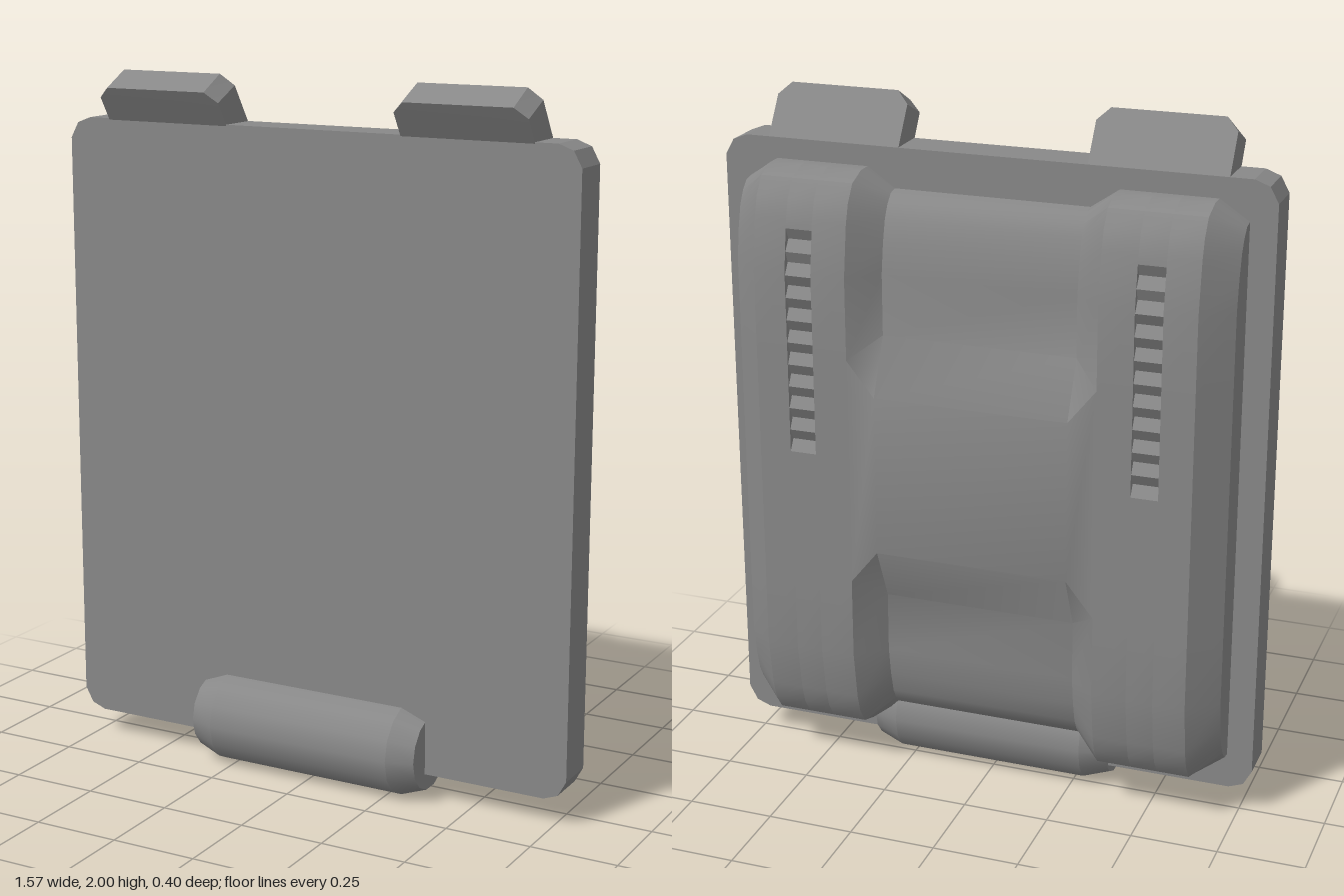
import * as THREE from 'three';
import { toCreasedNormals } from 'three/addons/utils/BufferGeometryUtils.js';

const grey = new THREE.MeshStandardMaterial({ color: 0x888888 });
grey.name = 'grey';

function add(parent, name, geometry) {
  const mesh = new THREE.Mesh(geometry, grey);
  mesh.name = name;
  parent.add(mesh);
  return mesh;
}

// Skins a surface over rows of [x, y, z] points, skipping empty triangles
function loft(rows) {
  const pos = [];
  const tri = (...pts) => {
    const [a, b, c] = pts.map((p) => new THREE.Vector3(...p));
    if (b.clone().sub(a).cross(c.clone().sub(a)).length() > 1e-7) pos.push(...pts.flat());
  };
  for (let r = 0; r < rows.length - 1; r++) {
    const a = rows[r], b = rows[r + 1];
    for (let i = 0; i < a.length - 1; i++) {
      tri(a[i], b[i], b[i + 1]);
      tri(a[i], b[i + 1], a[i + 1]);
    }
  }
  const g = new THREE.BufferGeometry();
  g.setAttribute('position', new THREE.Float32BufferAttribute(pos, 3));
  return toCreasedNormals(g, 0.5);
}

const at = (x, profile) => profile.map(([z, y]) => [x, y, z]);
const mirrorRows = (rows) => rows.map((row) => row.map(([x, y, z]) => [-x, y, z])).reverse();

// Half profiles [z, y] from the top edge down; mirrored to the bottom half
const MID = 0.967;
const full = (half) => [...half, ...half.map(([z, y]) => [z, 2 * MID - y]).reverse()];
const outerCurve = [[-0.02, 1.805], [-0.065, 1.805], [-0.127, 1.783], [-0.16, 1.735], [-0.177, 1.68], [-0.198, 1.535]];
const innerCurve = [[-0.02, 1.75], [-0.05, 1.745], [-0.075, 1.72], [-0.095, 1.685], [-0.112, 1.62], [-0.125, 1.535]];
const outer = full([...outerCurve, [-0.198, 1.3], [-0.198, 1.3]]);
const side = full([...innerCurve, [-0.125, 1.3], [-0.125, 1.3]]);
const recess = full([...innerCurve, [-0.125, 1.36], [-0.198, 1.2]]);

function outerZ(y) {
  for (let i = 0; i < outer.length - 1; i++) {
    const [z0, y0] = outer[i], [z1, y1] = outer[i + 1];
    if (y <= y0 && y >= y1 && y0 > y1) return z0 + ((z1 - z0) * (y0 - y)) / (y0 - y1);
  }
  return -0.02;
}

// Louvred strip: a zigzag sunk into the body surface
function louvreProfiles() {
  const top = 1.655, bottom = 1.01, teeth = 10, depth = 0.02;
  const ys = [top];
  const pitch = (top - bottom) / teeth;
  const sunk = [[outerZ(top), top]];
  for (let i = 0; i < teeth; i++) {
    for (const [f, d] of [[0.5, depth], [1, i === teeth - 1 ? 0 : 0.002]]) {
      const y = top - (i + f) * pitch;
      ys.push(y);
      sunk.push([outerZ(y) + d, y]);
    }
  }
  const above = outer.filter((p) => p[1] > top);
  const below = outer.filter((p) => p[1] < bottom);
  const wrap = (mid) => [...above, ...mid, ...below];
  return { flush: wrap(ys.map((y) => [outerZ(y), y])), sunk: wrap(sunk) };
}

function createBackBody() {
  const body = new THREE.Group();
  body.name = 'backBody';
  add(body, 'recessedCentre', loft([at(-0.36, outer), at(-0.28, recess), at(0.28, recess), at(0.36, outer)]));

  const { flush, sunk } = louvreProfiles();
  const pieces = {
    innerRail: [at(0.36, outer), at(0.46, outer)],
    louvreStrip: [at(0.46, flush), at(0.46, sunk), at(0.537, sunk), at(0.537, flush)],
    outerRail: [
      at(0.537, outer), at(0.63, outer), at(0.713, side),
      at(0.713, side.map(([, y]) => [-0.02, y])),
    ],
  };
  for (const [name, rows] of Object.entries(pieces)) {
    add(body, name + 'Left', loft(rows));
    add(body, name + 'Right', loft(mirrorRows(rows)));
  }
  return body;
}

// Flat panel with clipped corners
function createPanel() {
  const w = 0.787, h = 0.892;
  const pts = [];
  const corner = [[0, 0.06], [0.024, 0.016], [0.066, 0]];
  for (const [sx, sy] of [[1, 1], [-1, 1], [-1, -1], [1, -1]]) {
    const c = corner.map(([dx, dy]) => new THREE.Vector2(sx * (w - dx), sy * (h - dy)));
    pts.push(...(sx * sy > 0 ? c : c.reverse()));
  }
  const g = new THREE.ExtrudeGeometry(new THREE.Shape(pts), { depth: 0.12, bevelEnabled: false });
  return g.translate(0, 0.972, -0.02);
}

// Forward-leaning tab with clipped top corners
function createTab() {
  const ring = (hw, [zb, yb], [zf, yf]) =>
    [[-hw, yb, zb], [hw, yb, zb], [hw, yf, zf], [-hw, yf, zf], [-hw, yb, zb]];
  const tip = ring(0.158, [0.073, 2.0], [0.16, 1.955]);
  return loft([
    ring(0.193, [-0.02, 1.86], [0.1, 1.86]),
    ring(0.193, [0.052, 1.968], [0.142, 1.926]),
    tip,
    tip.map(() => [0, 1.9775, 0.1165]),
  ]);
}

export function createModel() {
  const model = new THREE.Group();
  model.name = 'panelPack';

  add(model, 'frontPanel', createPanel());
  model.add(createBackBody());

  for (const s of [-1, 1]) add(model, s > 0 ? 'topTabLeft' : 'topTabRight', createTab()).position.x = s * 0.462;

  // Bottom roll with tapered ends
  const roll = new THREE.Group();
  roll.name = 'bottomRoll';
  add(roll, 'rollBarrel', new THREE.CylinderGeometry(0.135, 0.135, 0.57, 14, 1, true));
  for (const s of [-1, 1]) {
    const r = [0.108, 0.135];
    const end = new THREE.CylinderGeometry(s > 0 ? r[0] : r[1], s > 0 ? r[1] : r[0], 0.075, 14);
    add(roll, 'rollEnd', end).position.y = s * 0.3225;
  }
  roll.rotation.z = Math.PI / 2;
  roll.position.set(0, 0.135, 0.065);
  model.add(roll);

  return model;
}
